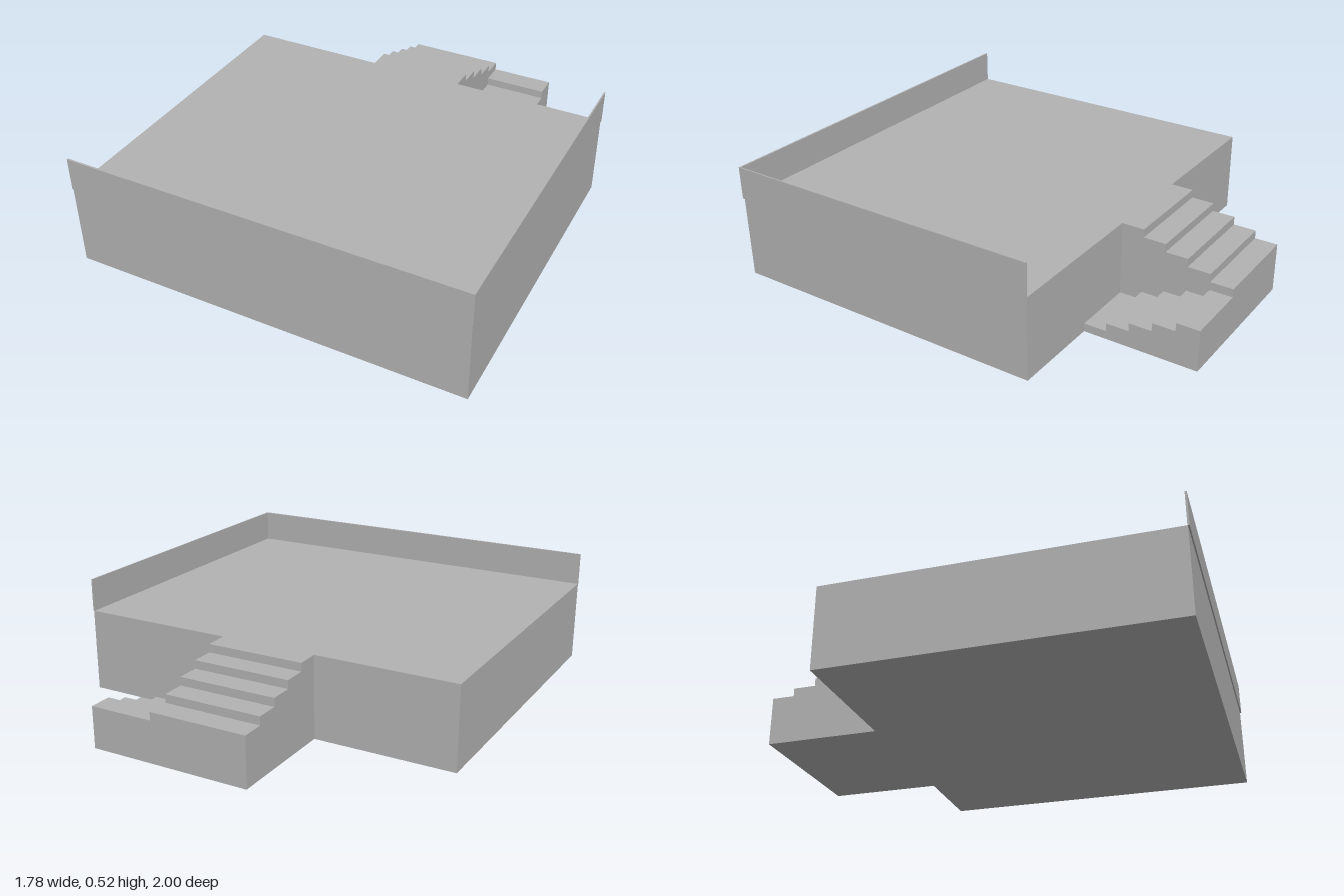
import * as THREE from 'three';

const FLOOR = 0.372, WALL_TOP = 0.52, BACK = -0.486;
const STEPS = 5, TREAD = 0.1028, RISE = 0.0372;

export function createModel() {
  const model = new THREE.Group();
  model.name = 'terraceWithStairs';
  const concrete = new THREE.MeshStandardMaterial({ color: 0xb2b2b2 });
  concrete.name = 'concreteGrey';

  const add = (name, geometry) => {
    const mesh = new THREE.Mesh(geometry, concrete);
    mesh.name = name;
    model.add(mesh);
  };

  // Box given by its lower and upper corners
  const box = (name, [x0, y0, z0], [x1, y1, z1]) => {
    const g = new THREE.BoxGeometry(x1 - x0, y1 - y0, z1 - z0);
    g.translate((x0 + x1) / 2, (y0 + y1) / 2, (z0 + z1) / 2);
    add(name, g);
  };

  // Solid flight: stepped profile running backwards from the terrace, extruded along x
  const flight = (name, x0, x1, firstHeight, rise) => {
    const profile = new THREE.Shape();
    profile.moveTo(0, 0);
    for (let i = 0; i < STEPS; i++) {
      const y = firstHeight + i * rise;
      profile.lineTo(i * TREAD, y);
      profile.lineTo((i + 1) * TREAD, y);
    }
    profile.lineTo(STEPS * TREAD, 0);
    profile.closePath();
    const g = new THREE.ExtrudeGeometry(profile, { depth: x1 - x0, bevelEnabled: false });
    g.rotateY(Math.PI / 2);
    g.translate(x0, 0, BACK);
    add(name, g);
  };

  // Terrace block
  box('terrace', [-0.89, 0, BACK], [0.886, FLOOR, 0.994]);

  // Thin parapets along the front and the left edge
  box('frontParapet', [-0.89, FLOOR, 0.992], [0.89, WALL_TOP, 1]);
  box('leftParapet', [0.884, FLOOR, BACK], [0.89, WALL_TOP, 0.992]);

  // Upper flight goes down to the landing, lower flight turns back to the ground
  flight('upperFlight', -0.255, 0.186, FLOOR, -RISE);
  flight('lowerFlight', 0.186, 0.477, RISE, RISE);

  return model;
}
